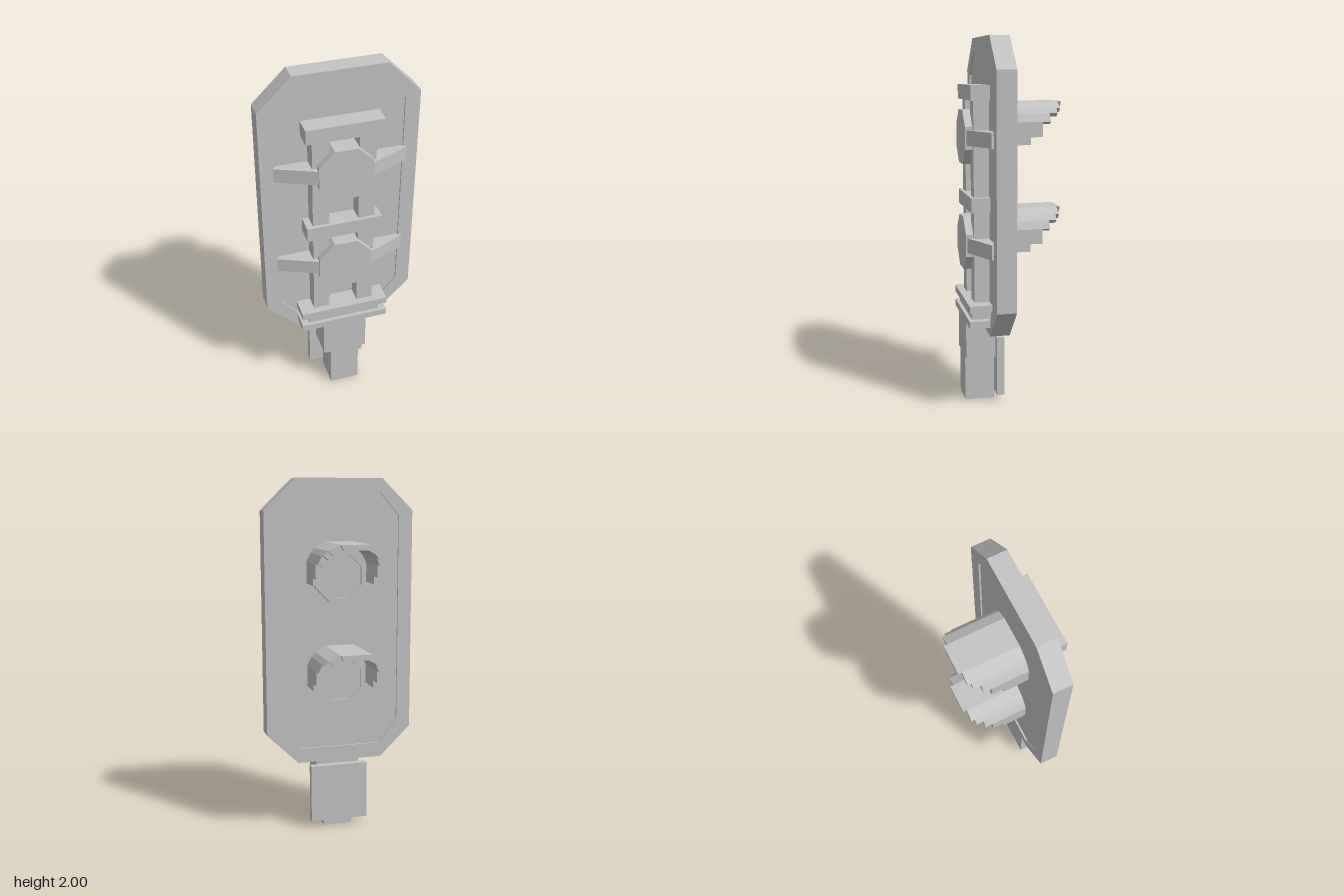
import * as THREE from 'three';

export function createModel() {
  const model = new THREE.Group();
  const grey = new THREE.MeshStandardMaterial({ color: 0xc3c3c3 });
  grey.name = 'signalGrey';

  const add = (name, geometry, parent = model) => {
    const mesh = new THREE.Mesh(geometry, grey);
    mesh.name = name;
    parent.add(mesh);
    return mesh;
  };
  // Box given by its limits on each axis
  const box = (name, x0, x1, y0, y1, z0, z1, parent = model) =>
    add(name, new THREE.BoxGeometry(x1 - x0, y1 - y0, z1 - z0)
      .translate((x0 + x1) / 2, (y0 + y1) / 2, (z0 + z1) / 2), parent);
  // Outline in x and y, extruded from z0 to z1
  const prism = (name, points, z0, z1, parent = model, hole = null) => {
    const shape = new THREE.Shape(points.map(([x, y]) => new THREE.Vector2(x, y)));
    if (hole) shape.holes.push(new THREE.Path(hole.map(([x, y]) => new THREE.Vector2(x, y))));
    const g = new THREE.ExtrudeGeometry(shape, { depth: z1 - z0, bevelEnabled: false });
    return add(name, g.translate(0, 0, z0), parent);
  };
  // Rectangle with cut corners: half width, limits, top half width, shoulder heights
  const chamfered = (w, y0, y1, t, s0, s1) =>
    [[t, y0], [w, s0], [w, s1], [t, y1], [-t, y1], [-w, s1], [-w, s0], [-t, y0]];
  const octagon = (r) => chamfered(r, -r, r, r * 0.42, -r * 0.42, r * 0.42);

  // Backing board: raised rim around a slightly recessed panel
  const rim = chamfered(0.422, 0.41, 2.0, 0.245, 0.583, 1.826);
  const inner = chamfered(0.342, 0.493, 1.921, 0.235, 0.618, 1.797);
  prism('boardRim', rim, 0.05, 0.156, model, inner);
  prism('boardPanel', inner, 0.06, 0.145);

  // Front frame
  for (const s of [-1, 1]) {
    box('frameUpright', s * 0.125 - 0.045, s * 0.125 + 0.045, 0.57, 1.68, 0.14, 0.228);
  }
  for (const y of [1.078, 1.668]) box('frameCrossbar', -0.206, 0.206, y, y + 0.08, 0.14, 0.248);

  // Stacked mounting bracket and post
  box('bracketUpper', -0.248, 0.248, 0.544, 0.583, 0.14, 0.268);
  box('bracketMiddle', -0.206, 0.206, 0.498, 0.544, 0.14, 0.248);
  box('bracketLower', -0.248, 0.248, 0.459, 0.498, 0.14, 0.268);
  box('postCollar', -0.125, 0.125, 0.25, 0.41, 0.104, 0.268);
  box('postNeck', -0.125, 0.125, 0.41, 0.459, 0.15, 0.268);
  box('postFoot', -0.083, 0.083, 0, 0.25, 0.104, 0.268);
  box('postBackPlate', -0.166, 0.166, 0.043, 0.375, 0.062, 0.104);

  // Hood outline (right half, from the top down) and reach of each strip
  const hood = [[0, 0.188], [0.082, 0.188], [0.141, 0.155], [0.163, 0.128],
    [0.186, 0.083], [0.186, 0.003], [0.186, -0.038]];
  const reach = [-0.27, -0.25, -0.23, -0.188, -0.145, -0.08];

  const createLamp = (y) => {
    const lamp = new THREE.Group();
    lamp.name = 'lamp';
    lamp.position.y = y;
    model.add(lamp);

    // Housing at the front, bezel and lens at the back
    prism('lampHousing', octagon(0.145), 0.14, 0.268, lamp);
    prism('lampBezel', octagon(0.145), 0.022, 0.065, lamp, octagon(0.117));
    prism('lampLens', octagon(0.118), 0.035, 0.065, lamp);

    for (const s of [-1, 1]) {
      // Sloping side brace
      const brace = new THREE.Shape([[0.13, -0.14], [0.345, -0.14], [0.356, -0.168], [0.13, -0.266]]
        .map(([x, z]) => new THREE.Vector2(s * x, z)));
      add('sideBrace', new THREE.ExtrudeGeometry(brace, { depth: 0.08, bevelEnabled: false })
        .rotateX(-Math.PI / 2).translate(0, -0.038, 0), lamp);

      // Stepped hood
      for (let i = 0; i < reach.length; i++) {
        const inside = ([x, h]) => [x * 0.84, h > 0.01 ? h * 0.84 : h];
        const a = hood[i], b = hood[i + 1];
        const strip = [a, b, inside(b), inside(a)].map(([x, h]) => [s * x, h]);
        prism('hoodStrip', strip, reach[i], 0.065, lamp);
      }
    }
  };
  for (const y of [0.892, 1.47]) createLamp(y);

  return model;
}
